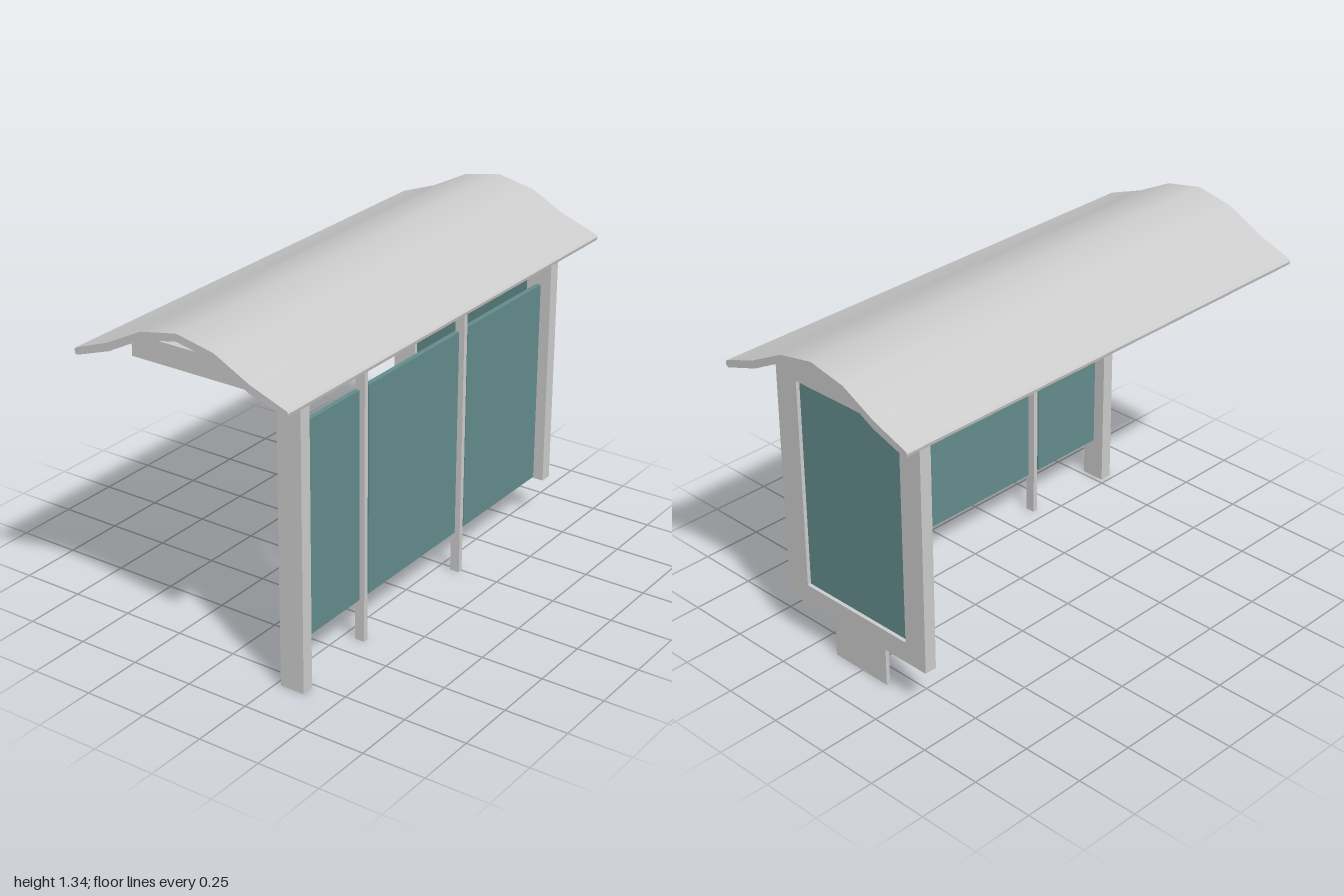
import * as THREE from 'three';
import { toCreasedNormals } from 'three/addons/utils/BufferGeometryUtils.js';

const metal = new THREE.MeshStandardMaterial({ color: 0xcccccc, side: THREE.DoubleSide });
const glass = new THREE.MeshStandardMaterial({ color: 0x648c8c });

export function createModel() {
  const shelter = new THREE.Group();
  shelter.name = 'busShelter';

  const add = (name, geometry, material) => {
    const mesh = new THREE.Mesh(geometry, material);
    mesh.name = name;
    shelter.add(mesh);
    return mesh;
  };

  // Box given by its limits on each axis
  const box = (name, [x0, x1], [y0, y1], [z0, z1], material = metal) => {
    const geometry = new THREE.BoxGeometry(x1 - x0, y1 - y0, z1 - z0);
    geometry.translate((x0 + x1) / 2, (y0 + y1) / 2, (z0 + z1) / 2);
    return add(name, geometry, material);
  };

  // Post: a box whose underside is open
  const post = (name, x, y, z) => {
    const { geometry } = box(name, x, y, z);
    geometry.setIndex([...geometry.index.array].filter((_, i) => i < 18 || i >= 24));
  };

  // Curved roof sheet: half profile mirrored, run along x
  const top = [[0, 1.341], [0.156, 1.31], [0.302, 1.235], [0.45, 1.181]];
  const tip = [[0.456, 1.173], [0.453, 1.16]];
  const under = [[0.444, 1.155], [0.297, 1.205], [0.152, 1.281], [0, 1.312]];
  const half = [...top, ...tip, ...under];
  const mirrored = half.slice(1, -1).reverse().map(([z, y]) => [-z, y]);
  const profile = new THREE.Shape([...half, ...mirrored].map(([z, y]) => new THREE.Vector2(z, y)));
  const roof = new THREE.ExtrudeGeometry(profile, { depth: 2, bevelEnabled: false });
  roof.translate(0, 0, -1).rotateY(Math.PI / 2);
  add('roof', toCreasedNormals(roof, 0.5), metal);

  // Beams under the roof
  const beamY = [1.11, 1.195];
  box('frontBeam', [-0.77, 0.8], beamY, [0.27, 0.37]);
  box('backBeam', [-0.77, 0.8], beamY, [-0.355, -0.255]);
  box('sideBeam', [-0.82, -0.77], beamY, [-0.355, 0.37]);

  // Front posts
  post('cornerPost', [-0.82, -0.77], [0, 1.11], [0.27, 0.37]);
  for (const x of [-0.398, 0.24]) post('thinPost', [x - 0.01, x + 0.01], [0, 1.11], [0.3, 0.34]);

  // Front glazing
  for (const x of [[-0.76, -0.425], [-0.367, 0.21], [0.27, 0.793]]) {
    box('frontGlass', x, [0.18, 1.012], [0.31, 0.33], glass);
  }

  // Framed side panel on a foot
  const panelX = [0.8, 0.85];
  const panelY = [0.172, 1.195];
  for (const z of [[-0.355, -0.255], [0.265, 0.37]]) box('panelUpright', panelX, panelY, z);
  for (const y of [[0.172, 0.257], [1.11, 1.195]]) box('panelRail', panelX, y, [-0.255, 0.265]);
  box('panelGlass', [0.815, 0.835], [0.257, 1.11], [-0.255, 0.265], glass);
  post('panelFoot', [0.818, 0.834], [0, 0.172], [-0.13, 0.14]);

  return shelter;
}
